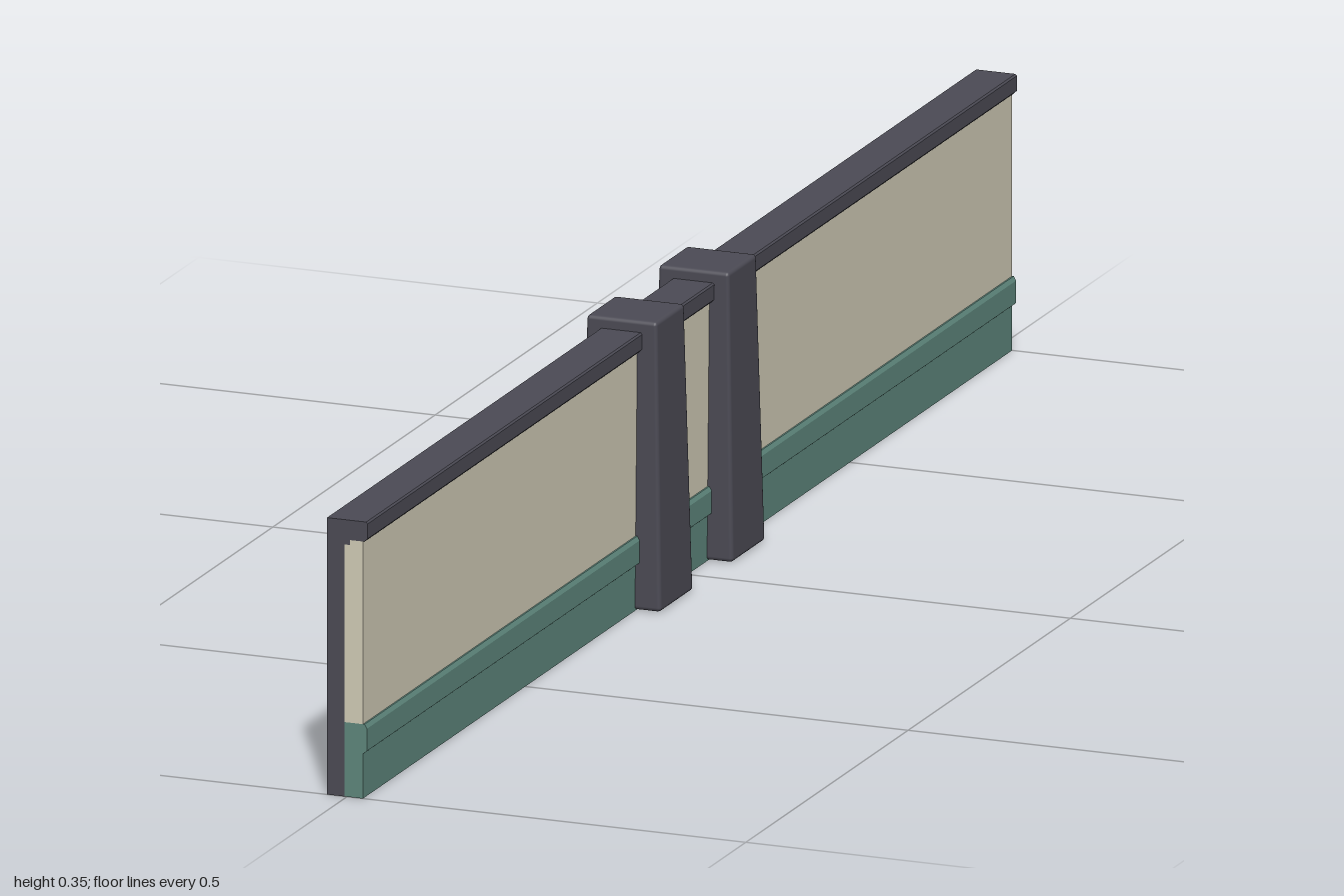
import * as THREE from 'three';
import { RoundedBoxGeometry } from 'three/addons/geometries/RoundedBoxGeometry.js';

const material = (name, color) => {
  const m = new THREE.MeshStandardMaterial({ color });
  m.name = name;
  return m;
};

export function createModel() {
  const group = new THREE.Group();
  const charcoal = material('charcoal', 0x4b4a54);
  const cream = material('cream', 0xcfcab5);
  const teal = material('teal', 0x5d857b);

  const add = (name, geometry, mat) => {
    const mesh = new THREE.Mesh(geometry, mat);
    mesh.name = name;
    group.add(mesh);
    return mesh;
  };

  // Extrudes an x/y profile along the whole length of the wall
  const wallStrip = (name, points, mat) => {
    const shape = new THREE.Shape(points.map(([x, y]) => new THREE.Vector2(x, y)));
    const geometry = new THREE.ExtrudeGeometry(shape, { depth: 2, bevelEnabled: false });
    add(name, geometry.translate(0, 0, -1), mat);
  };

  // Backing panel with a top cap that hooks over the face
  wallStrip('backingAndCap', [
    [-0.025, 0], [-0.003, 0], [-0.003, 0.305], [0.004, 0.305], [0.004, 0.311],
    [0.022, 0.311], [0.026, 0.315], [0.026, 0.333], [0.024, 0.335], [-0.025, 0.335],
  ], charcoal);

  // Painted upper wall
  wallStrip('upperWall', [
    [-0.003, 0.09], [0.02, 0.09], [0.02, 0.311], [0.004, 0.311], [0.004, 0.305], [-0.003, 0.305],
  ], cream);

  // Lower wall with a raised rail
  wallStrip('lowerWall', [
    [-0.003, 0], [0.02, 0], [0.02, 0.054], [0.025, 0.058], [0.025, 0.085], [0.022, 0.09], [-0.003, 0.09],
  ], teal);

  // Tapered pillars clasping the wall
  const pillar = new RoundedBoxGeometry(0.104, 0.348, 0.102, 2, 0.005);
  pillar.translate(0, 0.175, 0);
  const pos = pillar.attributes.position;
  for (let i = 0; i < pos.count; i++) {
    const s = 1 - 0.155 * pos.getY(i) / 0.349;
    pos.setX(i, pos.getX(i) * s);
    pos.setZ(i, pos.getZ(i) * s);
  }
  for (const side of [1, -1]) {
    add(side > 0 ? 'frontPillar' : 'rearPillar', pillar, charcoal).position.z = side * 0.111;
  }

  return group;
}
